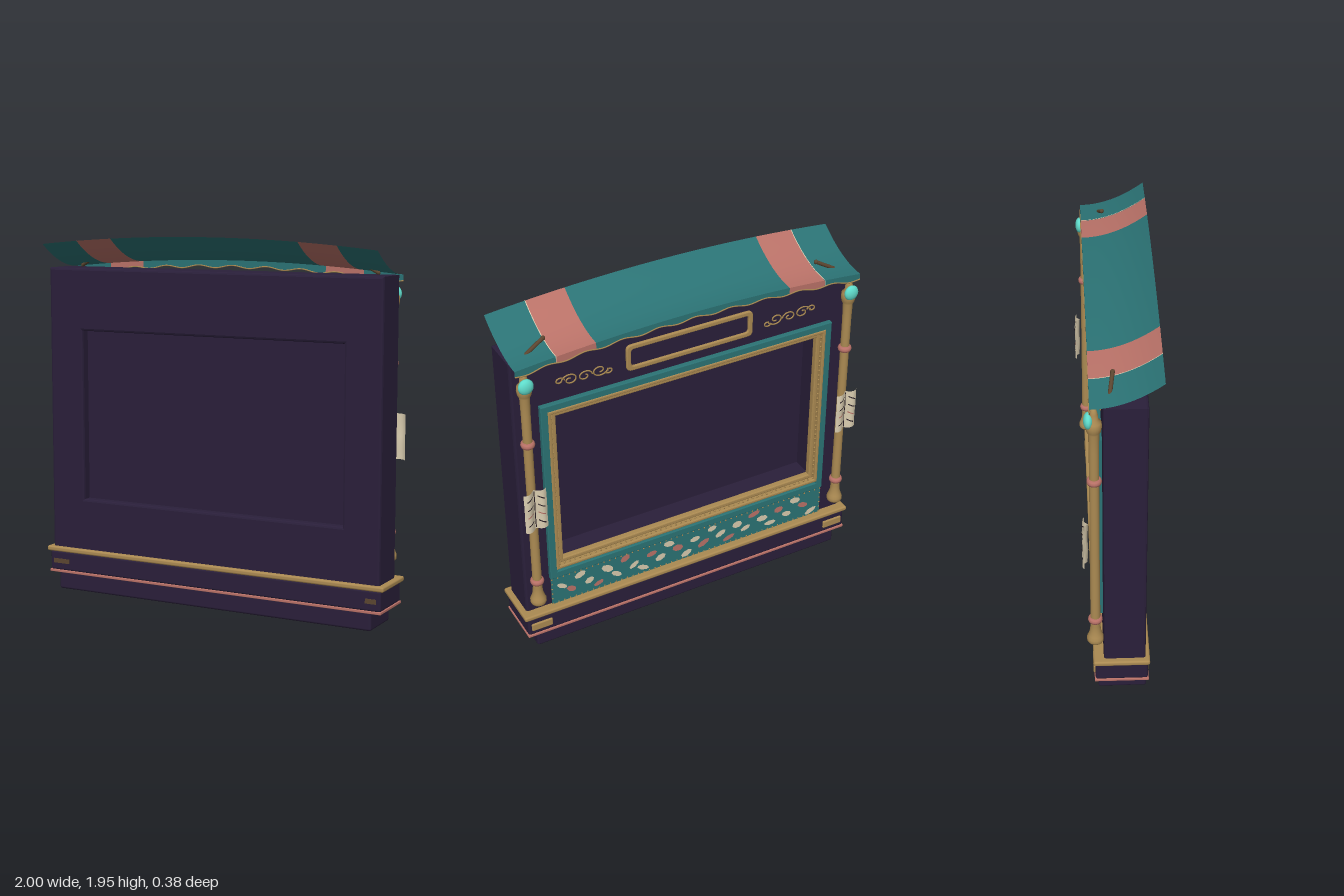
import * as THREE from 'three';
import { mergeGeometries } from 'three/addons/utils/BufferGeometryUtils.js';
import { RoundedBoxGeometry } from 'three/addons/geometries/RoundedBoxGeometry.js';

const mat = (name, color, side = THREE.FrontSide) => {
  const m = new THREE.MeshStandardMaterial({ color, side });
  m.name = name;
  return m;
};

export function createModel() {
  const root = new THREE.Group();
  const purple = mat('purple wood', 0x2a1f3a);
  const gold = mat('aged gold', 0xab8a52);
  const bronze = mat('dark bronze', 0x5c4630);
  const teal = mat('teal cloth', 0x2b7375, THREE.DoubleSide);
  const pink = mat('dusty pink', 0xba7268, THREE.DoubleSide);
  const cream = mat('cream paper', 0xd9ccaf, THREE.DoubleSide);
  const cyan = mat('turquoise gem', 0x5fdccb);
  const ink = mat('dark ink', 0x2a2026, THREE.DoubleSide);

  const add = (name, geo, material, x = 0, y = 0, z = 0) => {
    const m = new THREE.Mesh(geo, material);
    m.name = name;
    m.position.set(x, y, z);
    root.add(m);
    return m;
  };
  const box = (name, w, h, d, r, material, x, y, z) =>
    add(name, new RoundedBoxGeometry(w, h, d, 2, r), material, x, y, z);

  // Rectangle outline, optionally with rounded corners
  const rect = (P, hw, y0, y1, r = 0) => {
    const p = new P();
    p.moveTo(-hw + r, y0);
    p.lineTo(hw - r, y0);
    if (r) p.quadraticCurveTo(hw, y0, hw, y0 + r);
    p.lineTo(hw, y1 - r);
    if (r) p.quadraticCurveTo(hw, y1, hw - r, y1);
    p.lineTo(-hw + r, y1);
    if (r) p.quadraticCurveTo(-hw, y1, -hw, y1 - r);
    p.lineTo(-hw, y0 + r);
    if (r) p.quadraticCurveTo(-hw, y0, -hw + r, y0);
    return p;
  };
  // Picture-frame moulding from z0 to z1
  const frame = (name, material, hw, y0, y1, t, z0, z1, b, r = 0) => {
    const [tx, tb, tt] = Array.isArray(t) ? t : [t, t, t];
    const s = rect(THREE.Shape, hw, y0, y1, r);
    s.holes.push(rect(THREE.Path, hw - tx, y0 + tb, y1 - tt, r * 0.6));
    const g = new THREE.ExtrudeGeometry(s, {
      depth: z1 - z0 - 2 * b, bevelThickness: b, bevelSize: b, bevelOffset: -b, bevelSegments: 2, curveSegments: 5,
    });
    return add(name, g, material, 0, 0, z0 + b);
  };
  // Row of beads around a rectangle
  const beads = (name, hw, y0, y1, z, r, step) => {
    const list = [];
    const line = (ax, ay, bx, by) => {
      const n = Math.round(Math.hypot(bx - ax, by - ay) / step);
      for (let i = 0; i < n; i++) {
        list.push(new THREE.SphereGeometry(r, 6, 4).translate(ax + (bx - ax) * i / n, ay + (by - ay) * i / n, z));
      }
    };
    line(-hw, y0, hw, y0); line(hw, y0, hw, y1); line(hw, y1, -hw, y1); line(-hw, y1, -hw, y0);
    add(name, mergeGeometries(list), gold);
  };

  // Cabinet body with deep opening and closing panel
  frame('body', purple, 0.97, 0.2, 1.77, [0.205, 0.315, 0.335], -0.09, 0.12, 0.012);
  add('innerPanel', new THREE.BoxGeometry(1.55, 0.94, 0.025), purple, 0, 0.975, 0.055);

  // Stepped plinth
  box('foot', 1.86, 0.1, 0.245, 0.012, purple, 0, 0.05, 0.005);
  box('footTrim', 1.972, 0.014, 0.274, 0.003, pink, 0, 0.1, 0);
  box('plinth', 1.965, 0.108, 0.266, 0.012, purple, 0, 0.158, 0);
  box('plinthMoulding', 2, 0.028, 0.284, 0.01, gold, 0, 0.223, 0);

  // Frames around the opening
  frame('tealFrame', teal, 0.833, 0.42, 1.5, 0.04, -0.118, -0.088, 0.004);
  frame('outerGoldFrame', gold, 0.797, 0.475, 1.465, 0.018, -0.122, -0.088, 0.005);
  frame('innerGoldFrame', gold, 0.775, 0.502, 1.446, 0.025, -0.106, -0.07, 0.006);
  beads('frameBeads', 0.776, 0.499, 1.448, -0.108, 0.006, 0.03);

  // Title plate
  frame('titlePlateFrame', gold, 0.358, 1.552, 1.7, 0.026, -0.106, -0.088, 0.006, 0.03);
  add('titlePlate', new THREE.BoxGeometry(0.68, 0.12, 0.008), purple, 0, 1.626, -0.09);

  // Petal-strewn cloth below the opening
  add('clothPanel', new THREE.BoxGeometry(1.66, 0.17, 0.005), teal, 0, 0.33, -0.107);
  beads('clothBeads', 0.826, 0.25, 0.41, -0.11, 0.0045, 0.034);
  let seed = 7;
  const rnd = () => (seed = (seed * 16807) % 2147483647) / 2147483647;
  for (let i = 0; i < 30; i++) {
    const petal = add('petal', new THREE.CircleGeometry(1, 7).rotateY(Math.PI), i % 3 === 1 ? pink : cream,
      -0.77 + i * 0.0531, 0.33 + ((i * 2) % 5 - 2) * 0.025 + (rnd() - 0.5) * 0.015, -0.1105 - i * 0.00004);
    petal.scale.set(0.028 + rnd() * 0.013, 0.015 + rnd() * 0.009, 1);
    petal.rotation.z = (rnd() - 0.5) * 1.4;
  }

  // Awning: dished from back to front, arched across, with a scalloped valance
  const arch = x => 0.05 * (1 - (x / 0.965) ** 2);
  const roofY = (x, z) => 1.768 + arch(x) + 0.13 * ((z + 0.15) / 0.34) ** 2;
  const hemY = x => roofY(x, -0.15) - 0.034 + 0.007 * Math.cos(x * Math.PI * 10);
  const warp = (g, fn) => {
    const p = g.attributes.position;
    for (let i = 0; i < p.count; i++) p.setXYZ(i, ...fn(p.getX(i), p.getY(i)));
    g.computeVertexNormals();
    return g;
  };
  const canopy = (name, x0, x1, material, lift = 0) => {
    const w = x1 - x0, c = (x0 + x1) / 2, n = Math.max(1, Math.round(w / 0.025));
    add(name, warp(new THREE.PlaneGeometry(w, 0.34, n, 10), (x, y) => {
      const z = 0.02 - y;
      return [x + c, roofY(x + c, z) + lift, z];
    }), material);
    add(name + 'Valance', warp(new THREE.PlaneGeometry(w, 1, n, 1), (x, y) =>
      [c - x, y > 0 ? roofY(c - x, -0.15) + lift : hemY(c - x), -0.15 - lift]), material);
  };
  canopy('awningCentre', -0.54, 0.54, teal);
  for (const s of [-1, 1]) {
    const strip = (n, a, b, m, l) => canopy(n, Math.min(s * a, s * b), Math.max(s * a, s * b), m, l);
    strip('awningStripe', 0.54, 0.75, pink);
    strip('awningEnd', 0.75, 0.965, teal);
    strip('stripeSeam', 0.749, 0.753, cream, 0.002);
  }
  const hem = [];
  for (let i = 0; i <= 96; i++) {
    const x = -0.965 + i * 1.93 / 96;
    hem.push(new THREE.Vector3(x, hemY(x), -0.151));
  }
  add('valanceCord', new THREE.TubeGeometry(new THREE.CatmullRomCurve3(hem), 192, 0.0035, 5), gold);

  // Column profile, radius and height
  const column = [[0, 0.315], [0.038, 0.315], [0.043, 0.325], [0.043, 0.342], [0.036, 0.358], [0.028, 0.385],
    [0.025, 0.42], [0.0235, 0.9], [0.024, 1.5], [0.026, 1.6], [0.034, 1.615], [0.039, 1.64], [0.036, 1.665],
    [0.022, 1.68], [0.019, 1.71], [0.012, 1.735], [0, 1.742]].map(p => new THREE.Vector2(...p));

  // Paper tag patch folded around the column, x and y relative to its centre
  const tagZ = (x, y) => -0.163 - 0.026 * Math.abs(Math.sin(x * 40)) - 0.002 * Math.sin(y * 45);
  const tagPatch = (name, cx, x, y, w, h, slant, material, lift) =>
    add(name, warp(new THREE.PlaneGeometry(w, h, 12, 6), (u, v) => {
      const a = x - u, b = y + v + slant * u;
      return [cx + a, 0.95 + b, tagZ(a, b) - lift];
    }), material);

  // Scrollwork stroke in the plane of the body
  const scroll = (s, cx, cy, r, turns, dir, start) => {
    const pts = [];
    for (let i = 0; i <= 18; i++) {
      const t = i / 18, a = start + dir * t * turns * Math.PI * 2, q = r * (1 - 0.75 * t);
      pts.push(new THREE.Vector3(s * (cx + Math.cos(a) * q * 1.35), cy + Math.sin(a) * q, -0.093));
    }
    add('scrollwork', new THREE.TubeGeometry(new THREE.CatmullRomCurve3(pts), 32, 0.004, 5), gold);
  };

  for (const s of [-1, 1]) {
    const x = s * 0.915;
    // Columns, rings and gems
    add('column', new THREE.LatheGeometry(column, 18), gold, x, 0, -0.13);
    for (const y of [0.46, 1.325]) {
      const ring = add('columnRing', new THREE.TorusGeometry(0.024, 0.013, 8, 18).rotateX(Math.PI / 2), pink, x, y, -0.13);
      ring.scale.y = 1.35;
    }
    add('gem', new THREE.SphereGeometry(1, 16, 12), cyan, x, 1.672, -0.155).scale.set(0.04, 0.042, 0.023);

    // Paper tags with written strokes
    tagPatch('paperTag', x, 0, 0, 0.122, 0.235, 0.1, cream, 0);
    for (let i = 0; i < 4; i++) {
      for (const h of [-1, 1]) {
        tagPatch('tagStroke', x, h * 0.03, 0.08 - i * 0.05, 0.034, 0.007, h * 0.5, i === 2 ? pink : ink, 0.003);
      }
    }
    tagPatch('tagFold', x, 0, 0, 0.005, 0.22, 0, ink, 0.003);

    // Scrollwork beside the title plate
    scroll(s, 0.66, 1.598, 0.034, 1.3, 1, 0);
    scroll(s, 0.58, 1.595, 0.03, 1.2, -1, Math.PI);
    scroll(s, 0.5, 1.603, 0.034, 1.3, 1, Math.PI);
    scroll(s, 0.715, 1.605, 0.02, 1.1, -1, Math.PI);
    scroll(s, 0.45, 1.588, 0.018, 1.1, -1, 0);

    // Pins through the awning
    const a = new THREE.Vector3(s * 0.765, 1.836, -0.038), b = new THREE.Vector3(s * 0.87, 1.778, -0.055);
    add('awningPin', new THREE.TubeGeometry(new THREE.LineCurve3(a, b), 1, 0.01, 8), bronze);
    add('awningPinHead', new THREE.SphereGeometry(0.012, 8, 6), bronze, a.x, a.y, a.z);
    add('awningPinTip', new THREE.SphereGeometry(0.01, 8, 6), bronze, b.x, b.y, b.z);

    // Plinth corner plates
    box('cornerPlate', 0.12, 0.046, 0.016, 0.007, gold, s * 0.905, 0.157, -0.135);
    const w = s < 0 ? 0.1 : 0.06;
    add('smallPlate', new THREE.BoxGeometry(w, 0.025, 0.006), bronze, s * (0.96 - w / 2), 0.157, 0.133);
  }
  return root;
}
